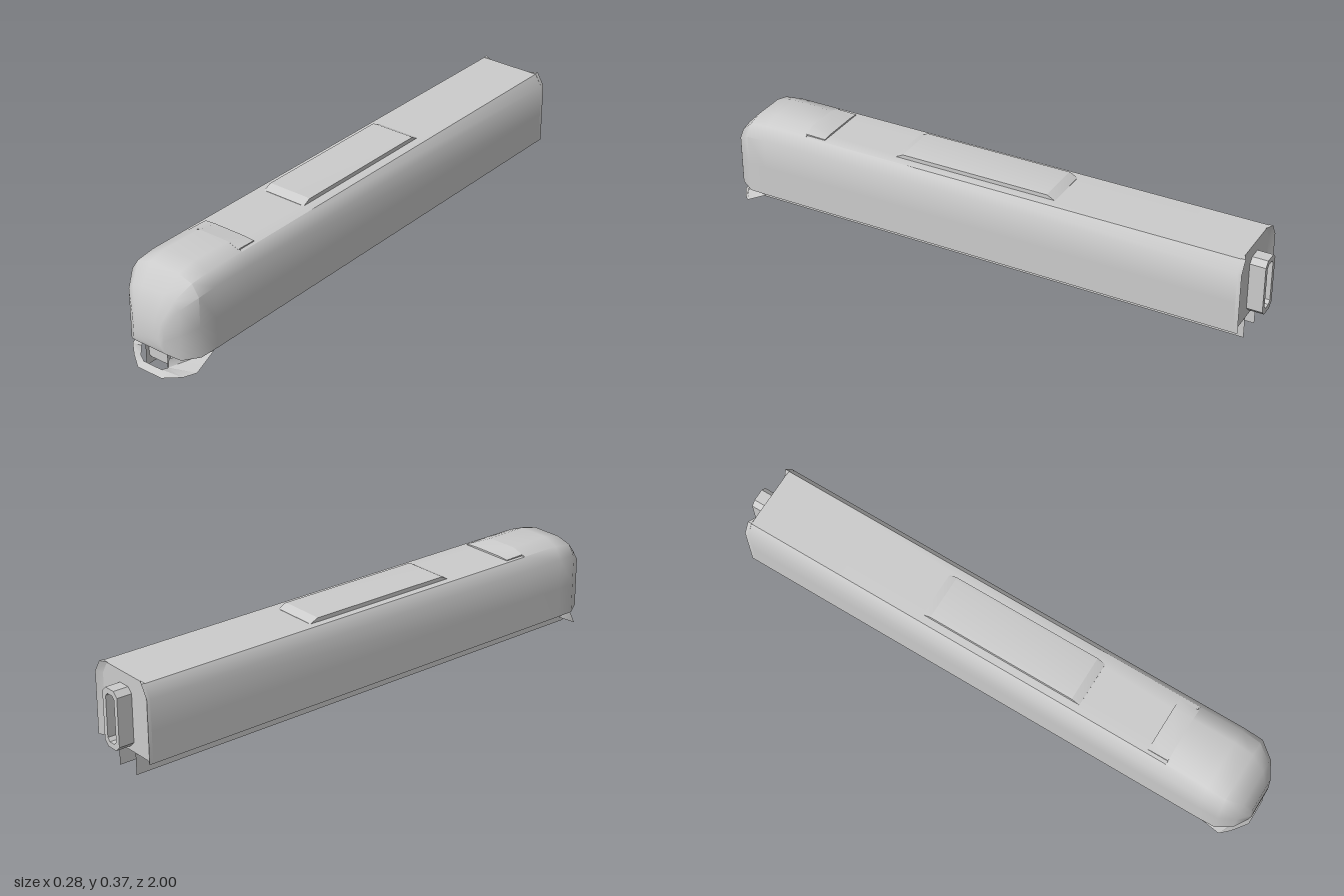
import * as THREE from 'three';
import { toCreasedNormals } from 'three/addons/utils/BufferGeometryUtils.js';

const grey = new THREE.MeshStandardMaterial({ color: 0xcccccc });
const thin = new THREE.MeshStandardMaterial({ color: 0xcccccc, side: THREE.DoubleSide });

// Skin over rows of [x, y, z] points; closed rows run counter-clockwise about the direction of travel.
function loft(rows, { closed = true, crease = 0.85 } = {}) {
  const n = rows[0].length, pos = [];
  const tri = (...pts) => pts.forEach(p => pos.push(...p));
  for (let r = 0; r < rows.length - 1; r++) {
    const a = rows[r], b = rows[r + 1];
    for (let i = 0; i < (closed ? n : n - 1); i++) {
      const j = (i + 1) % n;
      tri(a[i], a[j], b[j]);
      tri(a[i], b[j], b[i]);
    }
  }
  if (closed) {
    const cap = (row, flip) => {
      const c = [0, 1, 2].map(k => row.reduce((s, p) => s + p[k], 0) / n);
      row.forEach((p, i) => {
        const q = row[(i + 1) % n];
        flip ? tri(c, q, p) : tri(c, p, q);
      });
    };
    cap(rows[0], true);
    cap(rows[rows.length - 1], false);
  }
  const g = new THREE.BufferGeometry();
  g.setAttribute('position', new THREE.Float32BufferAttribute(pos, 3));
  g.computeVertexNormals();
  return toCreasedNormals(g, crease);
}

// Right half of a cross-section, from bottom to top, mirrored into a full ring
const mirrorRing = (half, z) => [
  ...half.map(([x, y]) => [x, y, z]),
  ...[...half].reverse().map(([x, y]) => [-x, y, z]),
];

// Octagonal outline for the rear passage
function octagon(w, h, c, cy, Path) {
  const p = new Path();
  [[w, c - h], [w, h - c], [w - c, h], [c - w, h], [-w, h - c], [-w, c - h], [c - w, -h], [w - c, -h]]
    .forEach(([x, y], i) => (i ? p.lineTo(x, y + cy) : p.moveTo(x, y + cy)));
  p.closePath();
  return p;
}

export function createModel() {
  const model = new THREE.Group();
  const add = (name, geometry, material = grey) => {
    const m = new THREE.Mesh(geometry, material);
    m.name = name;
    model.add(m);
    return m;
  };

  // Body and rounded nose: z, half width, bottom, shoulder, roof edge, roof top
  const sections = [
    [-0.945, 0.142, 0.078, 0.30, 0.343, 0.343],
    [0.68, 0.142, 0.078, 0.30, 0.343, 0.343],
    [0.685, 0.142, 0.078, 0.30, 0.343, 0.362],
    [0.84, 0.142, 0.078, 0.30, 0.343, 0.365],
    [0.91, 0.140, 0.078, 0.295, 0.335, 0.350],
    [0.965, 0.105, 0.080, 0.26, 0.285, 0.295],
    [0.995, 0.065, 0.105, 0.19, 0.205, 0.21],
    [1.0, 0.055, 0.12, 0.14, 0.15, 0.155],
  ];
  add('body', loft(sections.map(([z, w, b, s, e, t]) =>
    mirrorRing([[w, b], [w, (b + s) / 2], [w, s], [w * 0.81, e], [w * 0.42, t]], z))));

  // Tongue of the nose roof, with a slot left open on each side
  add('noseRoofTongue', loft([
    mirrorRing([[0.102, 0.34], [0.102, 0.346], [0.06, 0.349]], 0.61),
    mirrorRing([[0.102, 0.34], [0.102, 0.348], [0.06, 0.362]], 0.685),
  ]));

  // Roof equipment box with sloped ends and bevelled sides
  const box = add('roofUnit', loft([[-0.27, 0.344], [-0.24, 0.359], [0.31, 0.359], [0.34, 0.344]]
    .map(([z, y]) => mirrorRing([[0.084, 0.34], [0.084, y - 0.002], [0.072, y]], z)), { crease: 0.4 }));
  box.position.x = -0.004;

  // Wedge-shaped side flaps around the rear wall
  for (const s of [1, -1]) {
    const rows = [[0.078, 0], [0.30, 0], [0.345, -0.027]].map(([y, dx]) => {
      const ring = [[0.115, -0.944], [0.142, -0.944], [0.142, -0.958]]
        .map(([x, z]) => [s * (x + dx), y, z]);
      return s > 0 ? ring : ring.reverse();
    });
    add(s > 0 ? 'leftRearFlap' : 'rightRearFlap', loft(rows, { crease: 0.6 }));
  }

  // Hollow rear passage frame
  const frame = octagon(0.04, 0.103, 0.018, 0.197, THREE.Shape);
  frame.holes.push(octagon(0.023, 0.084, 0.011, 0.197, THREE.Path));
  const passage = add('rearPassage', new THREE.ExtrudeGeometry(frame, { depth: 0.056, bevelEnabled: false }));
  passage.position.z = -1;

  // Thin rails under the floor
  for (const s of [1, -1]) {
    const rail = add(s > 0 ? 'leftRail' : 'rightRail', new THREE.PlaneGeometry(1.91, 0.08), thin);
    rail.rotation.y = Math.PI / 2;
    rail.position.set(s * 0.046, 0.04, 0.01);
  }

  // Plate closing the space between the rails
  const plate = new THREE.Shape([[-0.058, 0.08], [-0.058, 0.04], [-0.037, 0.029], [0.037, 0.029], [0.058, 0.04], [0.058, 0.08]]
    .map(p => new THREE.Vector2(...p)));
  add('couplerPlate', new THREE.ShapeGeometry(plate), thin).position.z = 0.95;

  // Swept front apron with an open centre
  const flip = half => [...half, ...[...half].reverse().map(([x, y, z]) => [-x, y, z])];
  add('frontApron', loft([
    flip([[0.138, 0.072, 0.85], [0.138, 0.03, 0.93], [0.105, 0.015, 0.96], [0.05, 0.01, 1.0]]),
    flip([[0.058, 0.072, 0.97], [0.058, 0.04, 0.975], [0.055, 0.038, 0.977], [0.037, 0.03, 0.985]]),
  ], { closed: false, crease: 0.6 }), thin);

  return model;
}
